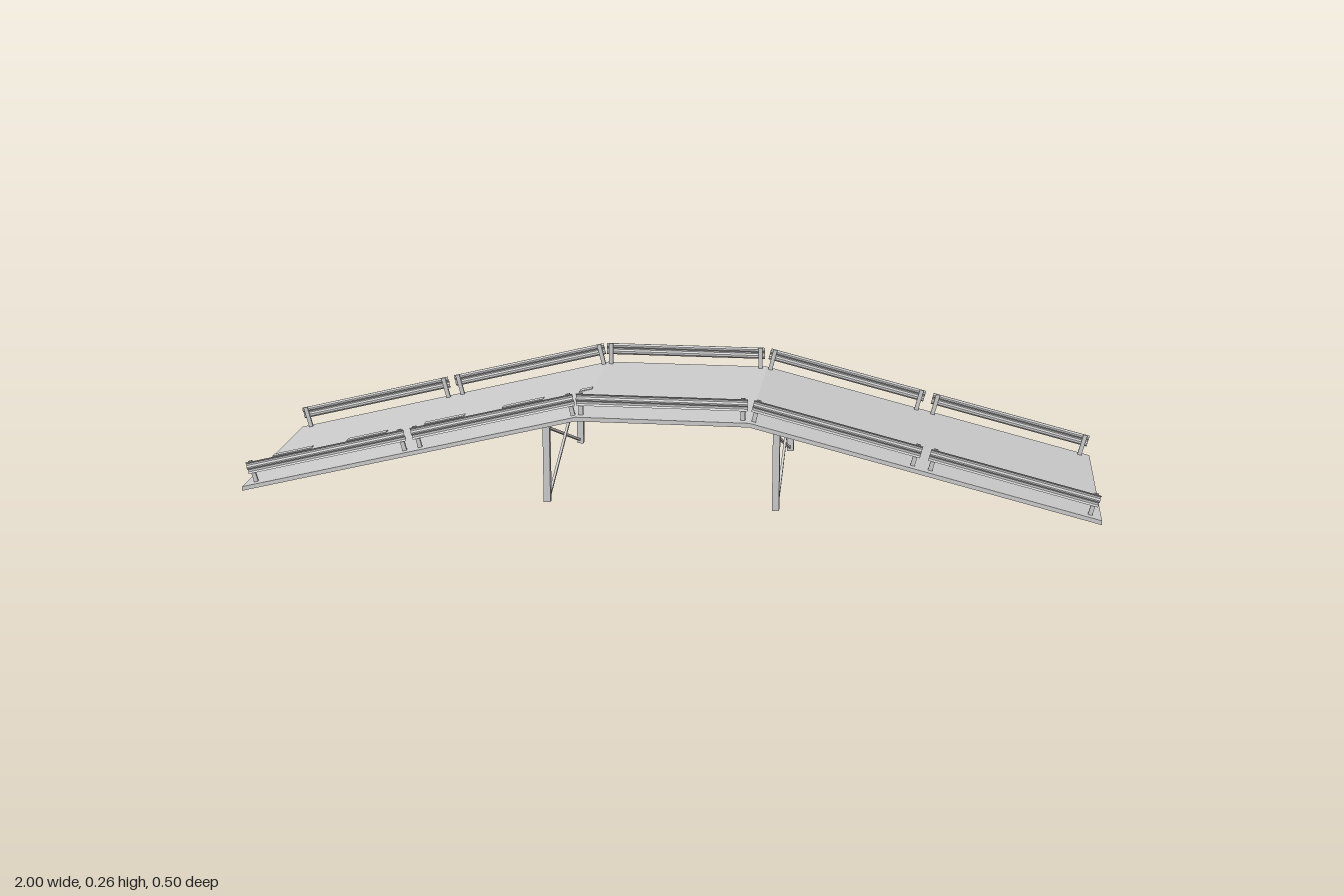
import * as THREE from 'three';

const material = new THREE.MeshStandardMaterial({ color: 0xcccccc, flatShading: true, side: THREE.DoubleSide });
const SLOPE = Math.atan2(0.2, 0.8);

// Height of the road surface at x
const roadY = (x) => 0.21 - 0.25 * Math.max(0, Math.abs(x) - 0.2);
const roadAngle = (x) => (Math.abs(x) < 0.2 ? 0 : -Math.sign(x) * SLOPE);

function add(parent, name, geometry, x = 0, y = 0, z = 0) {
  const mesh = new THREE.Mesh(geometry, material);
  mesh.name = name;
  mesh.position.set(x, y, z);
  parent.add(mesh);
  return mesh;
}

function extrude(points, depth) {
  const shape = new THREE.Shape(points.map(([x, y]) => new THREE.Vector2(x, y)));
  return new THREE.ExtrudeGeometry(shape, { depth, bevelEnabled: false }).translate(0, 0, -depth / 2);
}

// One guard rail section: a corrugated beam on two posts
function guardRail(length) {
  const rail = new THREE.Group();
  rail.name = 'guardRail';
  const front = [[0.003, 0.023], [-0.001, 0.027], [-0.001, 0.032], [0.003, 0.036],
    [0.003, 0.039], [-0.001, 0.043], [-0.001, 0.047], [0.003, 0.051]];
  const back = front.map(([d, y]) => [d + 0.002, y]).reverse();
  const beam = extrude([...front, ...back], length).rotateY(Math.PI / 2);
  add(rail, 'railBeam', beam);
  for (const side of [-1, 1]) {
    add(rail, 'railPost', new THREE.BoxGeometry(0.01, 0.052, 0.006),
      side * (length / 2 - 0.011), 0.026, 0.002);
  }
  return rail;
}

export function createModel() {
  const bridge = new THREE.Group();
  bridge.name = 'bridge';

  // Deck with two ramps and a level middle
  const deck = extrude([[-1, 0], [-0.2, 0.2], [0.2, 0.2], [1, 0],
    [1, 0.01], [0.2, 0.21], [-0.2, 0.21], [-1, 0.01]], 0.5);
  add(bridge, 'deck', deck);

  // Centre line dashes on one ramp
  for (const [start, end] of [[-1, -0.9], [-0.81, -0.71], [-0.615, -0.515], [-0.42, -0.32], [-0.23, -0.2]]) {
    const x = (start + end) / 2;
    const dash = add(bridge, 'laneDash',
      new THREE.BoxGeometry((end - start) / Math.cos(SLOPE), 0.002, 0.02), x, roadY(x) + 0.0005, 0);
    dash.rotation.z = SLOPE;
  }

  // Guard rails along both edges
  for (const z of [-0.235, 0.229]) {
    for (const x of [-0.79, -0.39, -0.003, 0.39, 0.793]) {
      const rail = guardRail(0.396);
      rail.position.set(x, roadY(x), z);
      rail.rotation.z = roadAngle(x);
      if (z > 0) rail.scale.z = -1;
      bridge.add(rail);
    }
  }

  // Two supports, each a pair of legs with crossed braces
  for (const x of [-0.27, 0.262]) {
    const support = new THREE.Group();
    support.name = 'support';
    support.position.x = x;
    for (const side of [-1, 1]) {
      add(support, 'leg', new THREE.BoxGeometry(0.016, 0.188, 0.016), 0, 0.094, side * 0.235);
      const brace = add(support, 'crossBrace',
        new THREE.BoxGeometry(0.006, 0.006, Math.hypot(0.46, 0.17)), side * 0.003, 0.094, 0);
      brace.rotation.x = side * Math.atan2(0.17, 0.46);
    }
    bridge.add(support);
  }
  return bridge;
}
